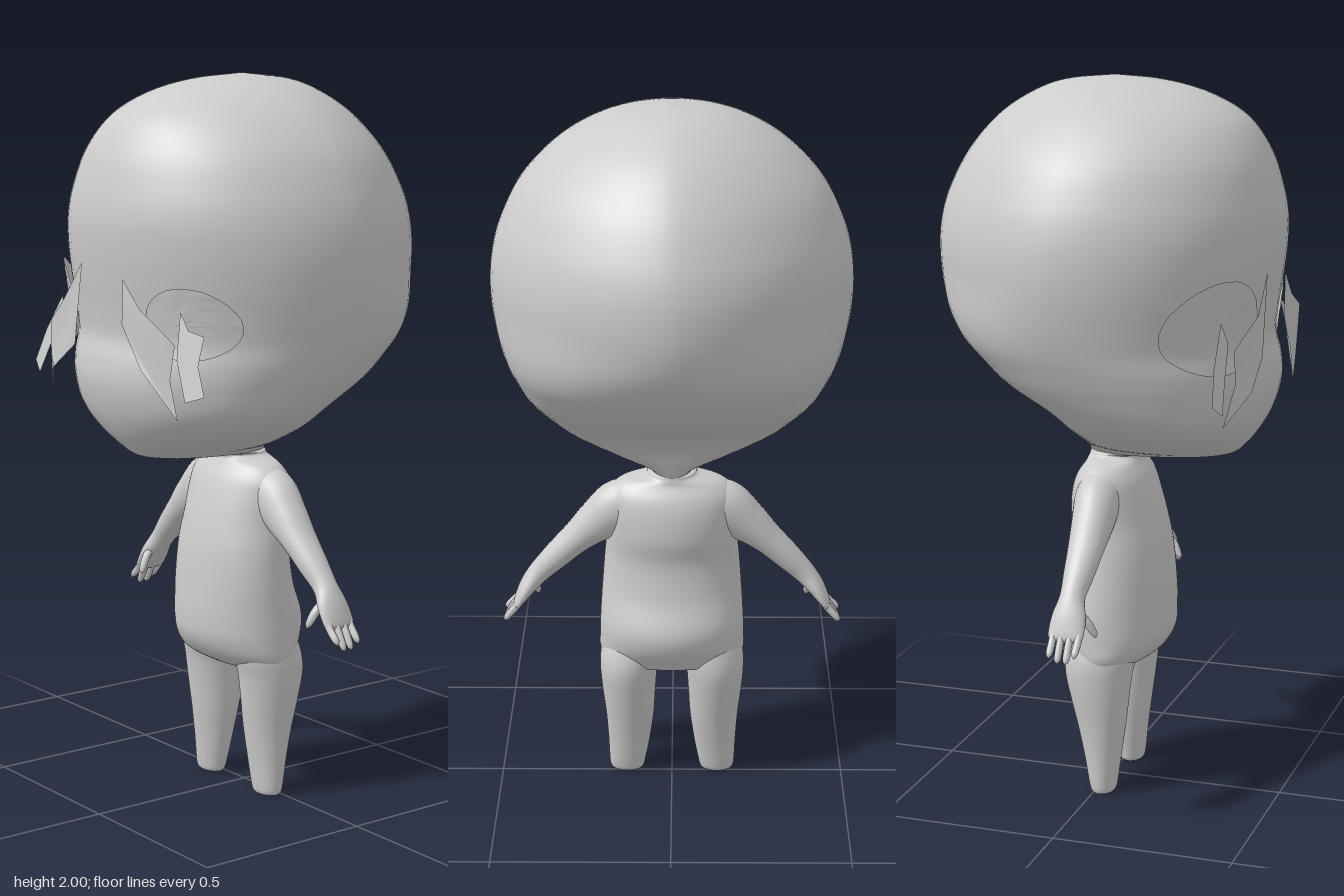
import * as THREE from 'three';

const SEG = 64;

// Joins rings of points (top to bottom) into one smooth skin.
function skin(rings) {
  const pos = [], idx = [], n = rings[0].length;
  rings.forEach(r => r.forEach(p => pos.push(...p)));
  for (let i = 0; i < rings.length - 1; i++) {
    for (let j = 0; j < n; j++) {
      const a = i * n + j, b = i * n + (j + 1) % n, c = a + n, d = b + n;
      idx.push(a, b, c, b, d, c);
    }
  }
  const g = new THREE.BufferGeometry();
  g.setAttribute('position', new THREE.Float32BufferAttribute(pos, 3));
  g.setIndex(idx);
  g.computeVertexNormals();
  return g;
}

// Smoothly resamples rows of numbers, [y, halfWidth, zFront, zBack, centreX].
function smoothRows(rows, steps) {
  const a = new THREE.CatmullRomCurve3(rows.map(r => new THREE.Vector3(r[0], r[1], r[4] ?? 0)), false, 'catmullrom', 0.5);
  const b = new THREE.CatmullRomCurve3(rows.map(r => new THREE.Vector3(r[2], r[3], 0)), false, 'catmullrom', 0.5);
  const out = [];
  for (let i = 0; i <= steps; i++) {
    const p = a.getPoint(i / steps), q = b.getPoint(i / steps);
    out.push([p.x, Math.max(p.y, 0), q.x, q.y, p.z]);
  }
  return out;
}

// Squareness of the back half: full at the nape, tapered at the crown.
function backPower(y) {
  if (y < 1.15) return THREE.MathUtils.lerp(2, 2.5, THREE.MathUtils.smoothstep(y, 0.97, 1.08));
  return THREE.MathUtils.lerp(2.5, 1.72, THREE.MathUtils.smoothstep(y, 1.15, 1.5));
}

// Horizontal sections, elliptical in front and superelliptical behind.
function loft(rows) {
  return skin(rows.map(([y, hw, zf, zb, cx]) => {
    const ring = [];
    for (let j = 0; j < SEG; j++) {
      const t = j / SEG * Math.PI * 2, c = Math.cos(t), s = Math.sin(t);
      const e = s < 0 ? 2 / backPower(y) : 1;
      ring.push([
        cx + hw * Math.sign(c) * Math.abs(c) ** e, y,
        (zf + zb) / 2 + (zf - zb) / 2 * Math.sign(s) * Math.abs(s) ** e,
      ]);
    }
    return ring;
  }));
}

// Limb swept along points [x, y, z, thickness radius, z radius].
function limb(points, steps, seg) {
  const path = new THREE.CatmullRomCurve3(points.map(p => new THREE.Vector3(p[0], p[1], p[2])), false, 'catmullrom', 0.5);
  const size = new THREE.CatmullRomCurve3(points.map(p => new THREE.Vector3(p[3], p[4], 0)), false, 'catmullrom', 0.5);
  const rings = [];
  for (let i = 0; i <= steps; i++) {
    const p = path.getPoint(i / steps), t = path.getTangent(i / steps), s = size.getPoint(i / steps);
    const l = Math.hypot(t.x, t.y) || 1, ring = [];
    for (let j = 0; j < seg; j++) {
      const a = j / seg * Math.PI * 2, c = Math.cos(a) * s.x;
      ring.push([p.x - t.y / l * c, p.y + t.x / l * c, p.z + Math.sin(a) * s.y]);
    }
    rings.push(ring);
  }
  return skin(rings);
}

// Head, neck and torso share one profile.
const BODY = smoothRows([
  [2.0, 0, 0.01, 0.01], [1.985, 0.12, 0.15, -0.13], [1.95, 0.222, 0.275, -0.225],
  [1.89, 0.318, 0.375, -0.315], [1.80, 0.406, 0.437, -0.395], [1.70, 0.458, 0.47, -0.45],
  [1.62, 0.482, 0.483, -0.476], [1.54, 0.491, 0.48, -0.483], [1.46, 0.488, 0.47, -0.475],
  [1.38, 0.475, 0.458, -0.448], [1.31, 0.457, 0.452, -0.40], [1.25, 0.436, 0.468, -0.335],
  [1.19, 0.41, 0.473, -0.265], [1.12, 0.37, 0.457, -0.154], [1.06, 0.303, 0.428, -0.098],
  [1.01, 0.20, 0.39, -0.077], [0.98, 0.11, 0.35, -0.066], [0.966, 0.072, 0.26, -0.06],
  [0.962, 0.07, 0.11, -0.058], [0.952, 0.078, 0.085, -0.06], [0.935, 0.145, 0.09, -0.065],
  [0.90, 0.178, 0.112, -0.088], [0.85, 0.184, 0.132, -0.102], [0.78, 0.184, 0.153, -0.105],
  [0.70, 0.192, 0.17, -0.092], [0.60, 0.20, 0.181, -0.105], [0.51, 0.206, 0.186, -0.137],
  [0.45, 0.208, 0.18, -0.13], [0.40, 0.207, 0.15, -0.10], [0.37, 0.185, 0.105, -0.075],
  [0.355, 0.11, 0.065, -0.03], [0.353, 0, 0.015, 0.015],
], 186);

// Front surface of the face at x, y.
function faceZ(x, y) {
  let best = BODY[0];
  for (const r of BODY) if (Math.abs(r[0] - y) < Math.abs(best[0] - y)) best = r;
  const k = Math.min(1, Math.abs(x) / best[1]);
  return (best[2] + best[3]) / 2 + (best[2] - best[3]) / 2 * Math.sqrt(1 - k * k);
}

// Oval eye plate lying on the face.
function eyePlate(cx, cy, rx, ry, lift) {
  const g = new THREE.RingGeometry(0, 1, 32, 8), p = g.attributes.position;
  for (let i = 0; i < p.count; i++) {
    const x = cx + p.getX(i) * rx, y = cy + p.getY(i) * ry;
    p.setXYZ(i, x, y, faceZ(x, y) + lift);
  }
  g.computeVertexNormals();
  return g;
}

// Thin pointed card that bends toward the side of the head and tilts back at the top.
function lashCard(points, z0, bend, tilt) {
  const g = new THREE.ShapeGeometry(new THREE.Shape(points.map(p => new THREE.Vector2(...p))));
  const p = g.attributes.position;
  for (let i = 0; i < p.count; i++) {
    p.setZ(i, z0 - bend * Math.max(0, Math.abs(p.getX(i)) - 0.27) - tilt * (p.getY(i) - 1.17));
  }
  g.computeVertexNormals();
  return g;
}

export function createModel() {
  const grey = new THREE.MeshStandardMaterial({ color: 0xcccccc, side: THREE.DoubleSide });
  grey.name = 'plainGrey';
  const model = new THREE.Group();
  model.name = 'figure';
  const add = (name, geometry, parent = model) => {
    const m = new THREE.Mesh(geometry, grey);
    m.name = name;
    parent.add(m);
  };

  add('headAndTorso', loft(BODY));

  for (const [side, s] of [['left', 1], ['right', -1]]) {
    // Leg, with a small opening in the rounded sole
    add(side + 'Leg', loft(smoothRows([
      [0.48, 0.07, 0.10, -0.07, 0.105 * s], [0.41, 0.085, 0.112, -0.088, 0.118 * s],
      [0.35, 0.083, 0.10, -0.092, 0.125 * s], [0.27, 0.077, 0.09, -0.075, 0.125 * s],
      [0.19, 0.07, 0.08, -0.055, 0.123 * s], [0.10, 0.061, 0.068, -0.034, 0.126 * s],
      [0.03, 0.053, 0.06, -0.02, 0.131 * s], [0.008, 0.049, 0.056, -0.014, 0.132 * s],
      [0, 0.042, 0.05, -0.008, 0.132 * s], [0, 0.033, 0.044, -0.002, 0.132 * s],
    ], 36)));

    // Arm and palm
    const arm = new THREE.Group();
    arm.name = side + 'Arm';
    model.add(arm);
    add(side + 'ArmAndPalm', limb([
      [0.06 * s, 0.875, 0.008, 0.05, 0.055], [0.14 * s, 0.856, 0.01, 0.075, 0.064],
      [0.21 * s, 0.803, 0.015, 0.062, 0.058], [0.27 * s, 0.75, 0.017, 0.046, 0.05],
      [0.33 * s, 0.692, 0.017, 0.039, 0.042], [0.378 * s, 0.643, 0.016, 0.032, 0.035],
      [0.408 * s, 0.605, 0.018, 0.026, 0.046], [0.43 * s, 0.57, 0.018, 0.019, 0.05],
      [0.445 * s, 0.545, 0.018, 0.011, 0.044], [0.449 * s, 0.538, 0.018, 0, 0],
    ], 45, 24), arm);

    // Fingers and thumb
    [[0.055, 0.505], [0.031, 0.487], [0.007, 0.487], [-0.016, 0.5]].forEach(([z, y], i) =>
      add(side + 'Finger' + (i + 1), limb([
        [0.428 * s, 0.57, z, 0.011, 0.011], [0.45 * s, 0.54, z, 0.011, 0.01],
        [0.474 * s, y + 0.012, z, 0.009, 0.009], [0.481 * s, y, z, 0, 0],
      ], 12, 10), arm));
    add(side + 'Thumb', limb([
      [0.405 * s, 0.612, 0.035, 0.014, 0.018], [0.397 * s, 0.585, 0.062, 0.013, 0.014],
      [0.39 * s, 0.552, 0.08, 0.01, 0.01], [0.388 * s, 0.538, 0.085, 0, 0],
    ], 12, 10), arm);
  }

  // Eyes
  add('leftEye', eyePlate(0.265, 1.365, 0.11, 0.095, 0.008));
  add('rightEye', eyePlate(-0.28, 1.375, 0.125, 0.125, 0.02));

  // Inner and outer lash cards
  add('leftInnerLash', lashCard([[0.09, 1.475], [0.085, 1.355], [0.17, 1.245], [0.30, 1.125],
    [0.285, 1.23], [0.295, 1.32], [0.265, 1.355], [0.17, 1.40]], 0.467, 0.8, 0));
  add('rightInnerLash', lashCard([[-0.10, 1.505], [-0.125, 1.37], [-0.14, 1.28], [-0.25, 1.205],
    [-0.335, 1.125], [-0.305, 1.24], [-0.31, 1.325], [-0.19, 1.40]], 0.467, 0.8, 0));
  add('leftOuterLash', lashCard([[0.26, 1.40], [0.275, 1.28], [0.325, 1.175], [0.387, 1.195],
    [0.35, 1.27], [0.355, 1.345], [0.30, 1.355]], 0.45, 0.2, 0.2));
  add('rightOuterLash', lashCard([[-0.305, 1.395], [-0.385, 1.29], [-0.43, 1.20], [-0.385, 1.17],
    [-0.34, 1.25], [-0.285, 1.34]], 0.45, 0.2, 0.2));

  return model;
}
